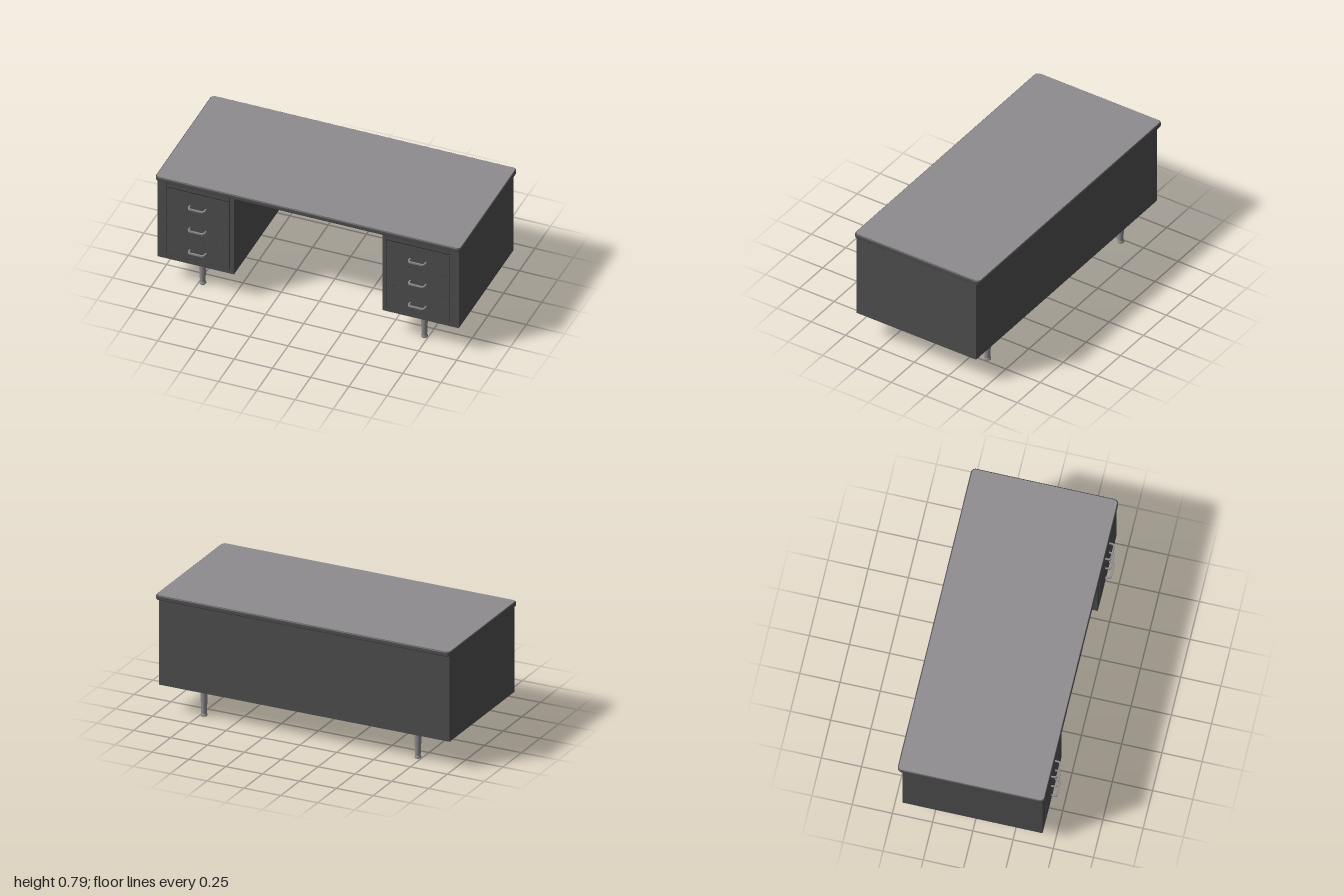
import * as THREE from 'three';

const mat = (name, color, side = THREE.FrontSide) => {
  const m = new THREE.MeshStandardMaterial({ color, side });
  m.name = name;
  return m;
};

// Rounded rectangle in the XY plane
function roundedRect(w, h, r) {
  const s = new THREE.Shape(), x = w / 2, y = h / 2;
  s.moveTo(-x + r, -y);
  s.lineTo(x - r, -y);
  s.absarc(x - r, -y + r, r, -Math.PI / 2, 0);
  s.lineTo(x, y - r);
  s.absarc(x - r, y - r, r, 0, Math.PI / 2);
  s.lineTo(-x + r, y);
  s.absarc(-x + r, y - r, r, Math.PI / 2, Math.PI);
  s.lineTo(-x, -y + r);
  s.absarc(-x + r, -y + r, r, Math.PI, Math.PI * 1.5);
  return s;
}

export function createModel() {
  const steel = mat('dark steel', 0x4c4c4c);
  const laminate = mat('grey laminate', 0x8e8b8e);
  const metal = mat('brushed metal', 0x8a8a8a);
  const gap = mat('shadow gap', 0x2c2c2c);

  const desk = new THREE.Group();
  desk.name = 'desk';

  const add = (parent, name, geometry, material, x = 0, y = 0, z = 0) => {
    const m = new THREE.Mesh(geometry, material);
    m.name = name;
    m.position.set(x, y, z);
    parent.add(m);
    return m;
  };
  // Box given by its limits
  const box = (parent, name, material, x0, x1, y0, y1, z0, z1) =>
    add(parent, name, new THREE.BoxGeometry(x1 - x0, y1 - y0, z1 - z0), material,
      (x0 + x1) / 2, (y0 + y1) / 2, (z0 + z1) / 2);

  // Desktop: rounded rim with a laminate sheet on top
  const b = 0.008, topZ = -0.0145;
  const rim = new THREE.ExtrudeGeometry(roundedRect(2 - 2 * b, 0.915 - 2 * b, 0.02), {
    depth: 0.032 - 2 * b, bevelThickness: b, bevelSize: b, bevelSegments: 4, curveSegments: 6,
  });
  rim.rotateX(-Math.PI / 2);
  add(desk, 'desktopRim', rim, steel, 0, 0.754 + b, topZ);
  const sheet = new THREE.ExtrudeGeometry(roundedRect(1.986, 0.901, 0.022), {
    depth: 0.002, bevelEnabled: false, curveSegments: 6,
  });
  sheet.rotateX(-Math.PI / 2);
  add(desk, 'desktopSheet', sheet, laminate, 0, 0.785, topZ);

  // Back panel closing the kneehole
  box(desk, 'backPanel', steel, -0.49, 0.49, 0.187, 0.756, -0.44, -0.42);

  // Drawer pull: a rounded bow standing out from the drawer
  const bow = new THREE.Shape();
  const outline = (p, w, d, r) => {
    p.moveTo(-w, 0);
    p.lineTo(-w, d - r);
    p.quadraticCurveTo(-w, d, -w + r, d);
    p.lineTo(w - r, d);
    p.quadraticCurveTo(w, d, w, d - r);
    p.lineTo(w, 0);
  };
  outline(bow, 0.056, 0.039, 0.02);
  const inner = new THREE.Path();
  outline(inner, 0.047, 0.03, 0.013);
  const reversed = inner.getPoints(6).reverse();
  reversed.forEach((p) => bow.lineTo(p.x, p.y));
  const pull = new THREE.ExtrudeGeometry(bow, { depth: 0.01, bevelEnabled: false, curveSegments: 6 });
  pull.rotateX(Math.PI / 2);

  // Turned leg with a foot ring
  const leg = new THREE.LatheGeometry([
    [0, 0], [0.019, 0], [0.022, 0.004], [0.022, 0.01], [0.018, 0.015],
    [0.017, 0.018], [0.024, 0.182],
  ].map(([x, y]) => new THREE.Vector2(x, y)), 24);

  // Two mirrored pedestals
  for (const s of [-1, 1]) {
    const ped = new THREE.Group();
    ped.name = s > 0 ? 'leftPedestal' : 'rightPedestal';
    desk.add(ped);
    const cx = s * 0.72;
    box(ped, 'cabinet', steel, s * 0.735 - 0.25, s * 0.735 + 0.25, 0.187, 0.756, -0.44, 0.43);
    box(ped, 'drawerGaps', gap, cx - 0.209, cx + 0.209, 0.222, 0.722, 0.425, 0.431);
    box(ped, 'pulloutGap', gap, cx - 0.209, cx + 0.209, 0.727, 0.754, 0.425, 0.431);
    box(ped, 'pulloutBoard', steel, cx - 0.205, cx + 0.205, 0.73, 0.752, 0.42, 0.435);

    for (let i = 0; i < 3; i++) {
      const y = 0.225 + i * 0.165;
      box(ped, 'drawerFront', steel, cx - 0.205, cx + 0.205, y, y + 0.161, 0.42, 0.434);
      add(ped, 'drawerPull', pull, metal, cx, 0.299 + i * 0.164, 0.433);
    }
    for (const z of [0.344, -0.35]) {
      box(ped, 'legPlate', metal, s * 0.725 - 0.052, s * 0.725 + 0.052, 0.181, 0.188, z - 0.046, z + 0.046);
      add(ped, 'leg', leg, metal, s * 0.725, 0, z);
    }
  }
  return desk;
}
